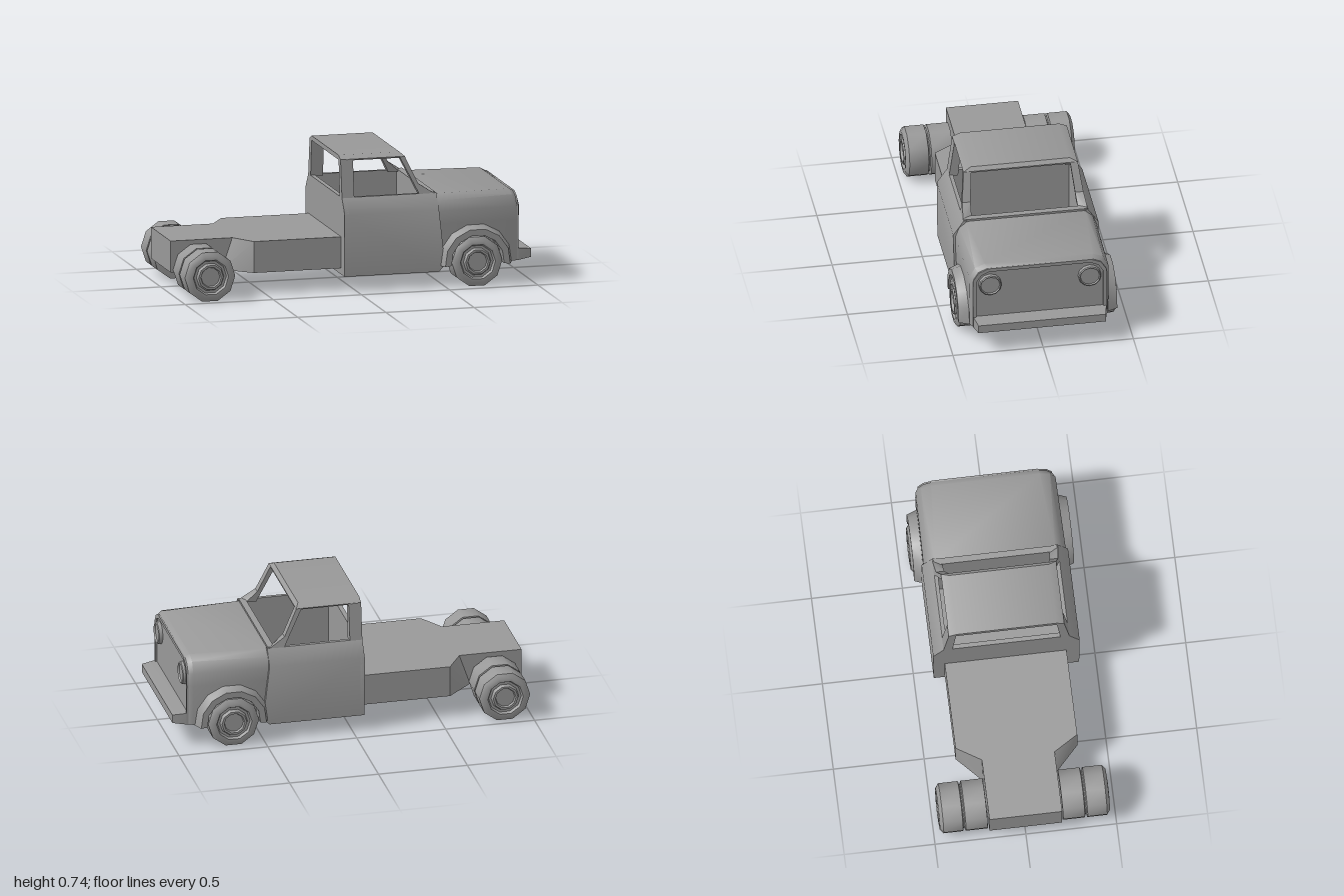
import * as THREE from 'three';
import { ConvexGeometry } from 'three/addons/geometries/ConvexGeometry.js';
import { toCreasedNormals } from 'three/addons/utils/BufferGeometryUtils.js';

const material = new THREE.MeshStandardMaterial({ color: 0x999999, side: THREE.DoubleSide });

export function createModel() {
  const truck = new THREE.Group();
  truck.name = 'pickupTruck';

  // Cab and nose sit a touch off the chassis centre line
  const body = new THREE.Group();
  body.name = 'body';
  body.position.z = 0.005;
  truck.add(body);

  // Shallow angles are shaded smooth, sharp ones stay creased
  const add = (name, geometry, parent = body) => {
    const mesh = new THREE.Mesh(toCreasedNormals(geometry, 0.7), material);
    mesh.name = name;
    parent.add(mesh);
    return mesh;
  };
  // Faceted solid around [x, y, z] corners
  const hull = (name, pts, parent) => add(name, new ConvexGeometry(pts.map(p => new THREE.Vector3(...p))), parent);
  // Solid crossing the centre line: corners are mirrored in z
  const centred = (name, pts, parent) => hull(name, [...pts, ...pts.map(([x, y, z]) => [x, y, -z])], parent);
  // One solid on each side
  const pair = (name, pts) => [1, -1].forEach(s => hull(name, pts.map(([x, y, z]) => [x, y, z * s])));
  // Extends a (z, y) section between two x positions
  const span = (x0, x1, section) => [x0, x1].flatMap(x => section.map(([z, y]) => [x, y, z]));

  // Chassis: narrow tail widening into the flat deck
  centred('rearFrame', span(-1, -0.6, [[0.2, 0.12], [0.2, 0.295]]), truck);
  centred('deck', [
    [-0.71, 0.12, 0.2], [-0.65, 0.295, 0.2],
    ...span(-0.565, -0.05, [[0.335, 0.12], [0.335, 0.295]]),
  ], truck);

  // Cab tub
  const wall = [[0.4, 0.085], [0.403, 0.43], [0.345, 0.515]];
  pair('door', [
    ...span(-0.07, 0.465, [...wall, [0.325, 0.085], [0.325, 0.515]]),
    [0.5, 0.12, 0.4], [0.5, 0.12, 0.325],
  ]);
  centred('cabRearWall', span(-0.07, -0.045, wall));
  centred('firewall', span(0.425, 0.46, [[0.39, 0.09], [0.39, 0.43], [0.34, 0.52]]));
  centred('cabFloor', [...span(-0.07, 0.46, [[0.395, 0.085], [0.395, 0.125]]), [0.5, 0.12, 0.395]]);

  // Cab pillars and roof
  pair('rearPillar', span(-0.07, 0, [[0.297, 0.51], [0.347, 0.51], [0.277, 0.72], [0.318, 0.72]]));
  const pillarMiddle = [[0.34, 0.57, 0.29], [0.34, 0.57, 0.336], [0.365, 0.57, 0.29], [0.365, 0.57, 0.336]];
  pair('windshieldPillar', [
    ...pillarMiddle,
    [0.265, 0.72, 0.275], [0.265, 0.72, 0.317], [0.295, 0.72, 0.275], [0.295, 0.72, 0.317],
  ]);
  pair('windshieldPillarFoot', [
    ...pillarMiddle,
    [0.37, 0.51, 0.295], [0.37, 0.51, 0.347], [0.43, 0.51, 0.295], [0.465, 0.505, 0.347],
  ]);
  centred('roof', [
    ...span(-0.07, 0.295, [[0.313, 0.714], [0.317, 0.722]]),
    ...span(-0.07, 0.275, [[0.275, 0.74]]),
  ]);

  // Hood and nose
  const nose = [[0.37, 0.12], [0.372, 0.35], [0.37, 0.42], [0.34, 0.47], [0.285, 0.493]];
  centred('hood', [
    ...span(0.45, 0.45, [[0.385, 0.12], [0.392, 0.35], [0.392, 0.42], [0.37, 0.475], [0.33, 0.508]]),
    ...span(0.89, 0.89, [[0.383, 0.12], [0.387, 0.35], [0.385, 0.425], [0.355, 0.485], [0.3, 0.507]]),
    ...span(0.915, 0.915, nose),
  ]);

  // Raised rim around the grille panel
  const inner = [[0.352, 0.12], [0.352, 0.41], [0.325, 0.453], [0.28, 0.473]];
  const mirrored = pts => pts.map(([z, y]) => [-z, y]);
  const rimOutline = [...nose, ...mirrored(nose).reverse(), ...mirrored(inner), ...inner.slice().reverse()];
  const rimShape = new THREE.Shape(rimOutline.map(([z, y]) => new THREE.Vector2(z, y)));
  const rim = add('grilleRim', new THREE.ExtrudeGeometry(rimShape, { depth: 0.01, bevelEnabled: false }));
  rim.rotation.y = Math.PI / 2;
  rim.position.x = 0.914;

  // Headlights: a raised ring around a sunken lens
  const lampProfile = [[0.064, 0], [0.062, 0.019], [0.056, 0.024], [0.053, 0.014], [0, 0.014]];
  for (const s of [1, -1]) {
    const points = lampProfile.map(([r, h]) => new THREE.Vector2(r, h));
    const lamp = add('headlight', new THREE.LatheGeometry(points, 12));
    lamp.rotation.z = -Math.PI / 2;
    lamp.position.set(0.915, 0.39, 0.276 * s);
  }

  // Front bumper
  centred('bumper', [
    ...span(0.91, 0.93, [[0.367, 0.12], [0.367, 0.185]]),
    ...span(1, 1, [[0.353, 0.13], [0.353, 0.177]]),
  ]);

  // Flared arches over the front wheels: rings of [radius, z]
  const archRings = [[0.208, 0.38], [0.185, 0.44], [0.15, 0.44], [0.146, 0.37]];
  const steps = 7;
  for (const s of [1, -1]) {
    const position = [], index = [];
    for (let i = 0; i <= steps; i++) {
      const a = -0.1 + (Math.PI + 0.2) * i / steps;
      archRings.forEach(([r, z]) => position.push(0.675 + r * Math.cos(a), 0.136 + r * Math.sin(a), z * s));
    }
    for (let i = 0; i < steps; i++) {
      for (let j = 0; j < 3; j++) {
        const a = i * 4 + j, b = a + 4;
        if (s > 0) index.push(a, b, a + 1, b, b + 1, a + 1);
        else index.push(a, a + 1, b, b, a + 1, b + 1);
      }
    }
    const geometry = new THREE.BufferGeometry();
    geometry.setAttribute('position', new THREE.Float32BufferAttribute(position, 3));
    geometry.setIndex(index);
    add('frontFender', geometry);
  }

  // Ten-sided wheels: lathe profiles of [radius, distance from the centre line]
  const hub = z => [
    [0.143, z - 0.018], [0.118, z], [0.1, z], [0.092, z - 0.016], [0.078, z - 0.016],
    [0.07, z + 0.003], [0.058, z + 0.003], [0.053, z - 0.01], [0, z - 0.01],
  ];
  const frontProfile = [[0, 0.305], [0.143, 0.305], ...hub(0.445)];
  const rearProfile = [
    [0, 0.21], [0.125, 0.206], [0.143, 0.208], [0.143, 0.327], [0.125, 0.332],
    [0.125, 0.338], [0.143, 0.343], ...hub(0.468),
  ];
  for (const [name, x, profile] of [['frontWheel', 0.675, frontProfile], ['rearDualWheel', -0.845, rearProfile]]) {
    for (const s of [1, -1]) {
      const points = profile.map(([r, z]) => new THREE.Vector2(r, z));
      const wheel = add(name, new THREE.LatheGeometry(points, 10, Math.PI / 10).rotateX(Math.PI / 2), truck);
      wheel.position.set(x, 0.136, 0);
      wheel.rotation.y = s > 0 ? 0 : Math.PI;
    }
  }
  return truck;
}
